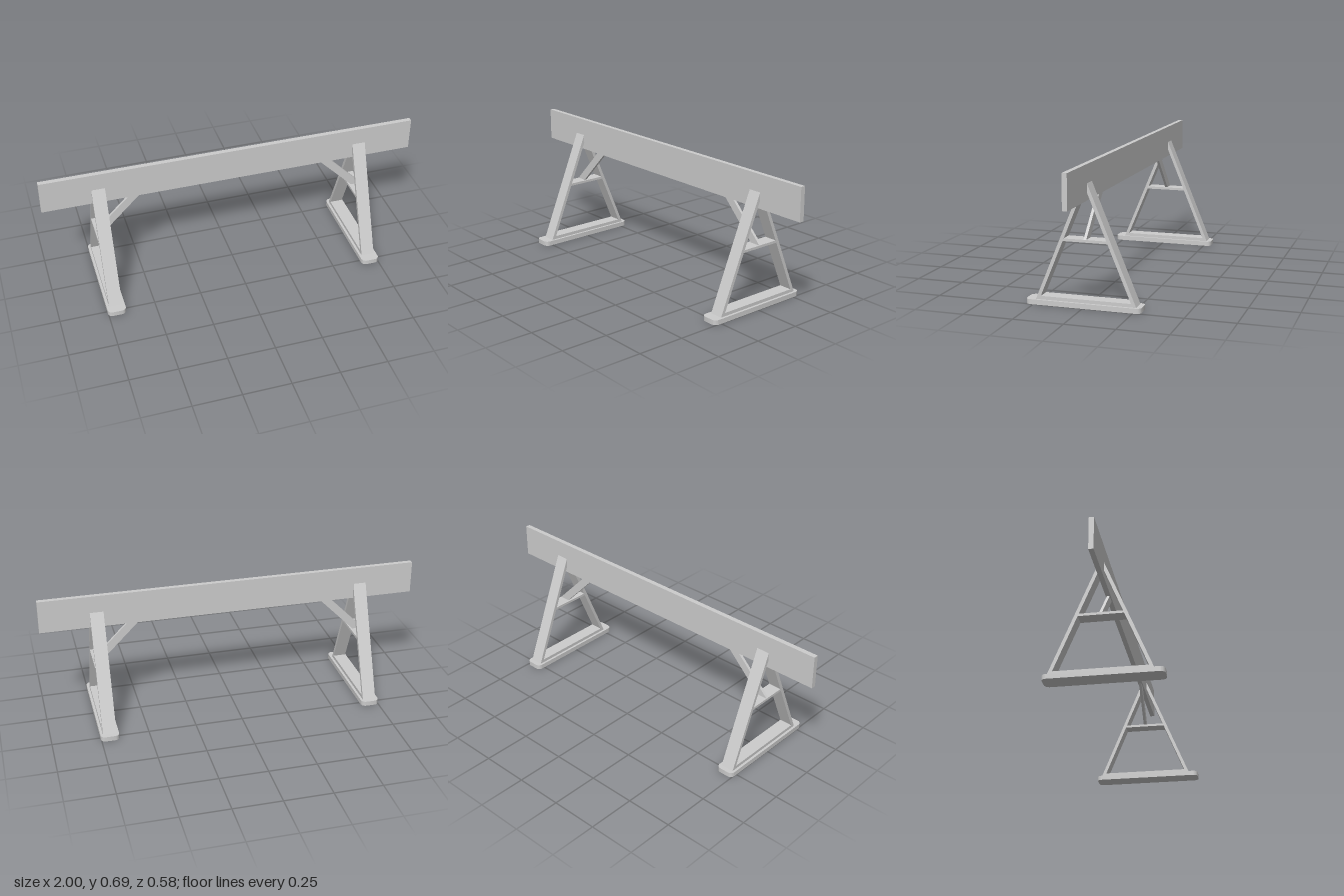
import * as THREE from 'three';
import { toCreasedNormals } from 'three/addons/utils/BufferGeometryUtils.js';

const material = new THREE.MeshStandardMaterial({ color: 0xcccccc });
const MID_Z = -0.0125; // centre plane of the plank and the A-frames
const FRAME_X = 0.705;
const FRAME_W = 0.07;

function addMesh(parent, name, geometry, x = 0, y = 0, z = 0) {
  const mesh = new THREE.Mesh(geometry, material);
  mesh.name = name;
  mesh.position.set(x, y, z);
  parent.add(mesh);
  return mesh;
}

// Prism from an outline, centred on its depth
function prism(points, depth) {
  const shape = new THREE.Shape(points.map(([a, b]) => new THREE.Vector2(a, b)));
  return new THREE.ExtrudeGeometry(shape, { depth, bevelEnabled: false }).translate(0, 0, -depth / 2);
}

// Prism with a (z, y) outline, running along x
const sidePrism = (points, width) => prism(points, width).rotateY(-Math.PI / 2);

// Flat foot board with rounded corners in plan
function footGeometry(w, l, h, r) {
  const x = w / 2, y = l / 2, s = new THREE.Shape();
  s.moveTo(-x + r, -y);
  s.lineTo(x - r, -y).absarc(x - r, -y + r, r, -Math.PI / 2, 0);
  s.lineTo(x, y - r).absarc(x - r, y - r, r, 0, Math.PI / 2);
  s.lineTo(-x + r, y).absarc(-x + r, y - r, r, Math.PI / 2, Math.PI);
  s.lineTo(-x, -y + r).absarc(-x + r, -y + r, r, Math.PI, Math.PI * 1.5);
  const g = new THREE.ExtrudeGeometry(s, { depth: h, bevelEnabled: false, curveSegments: 6 });
  return toCreasedNormals(g.rotateX(-Math.PI / 2), 0.6);
}

// Half-distance between the legs' outer and inner faces at a height
const outer = (y) => 0.2525 - (y - 0.025) * (0.24 / 0.58);
const inner = (y) => outer(y) - 0.0185;

// Horizontal rail fitted between the sloping legs
function railGeometry(y0, y1) {
  return sidePrism([[-inner(y0), y0], [inner(y0), y0], [inner(y1), y1], [-inner(y1), y1]], FRAME_W);
}

function createFrame(side) {
  const frame = new THREE.Group();
  frame.name = side > 0 ? 'leftFrame' : 'rightFrame';
  const x = side * FRAME_X;

  addMesh(frame, 'foot', footGeometry(0.096, 0.58, 0.025, 0.025), x);
  addMesh(frame, 'sill', railGeometry(0.025, 0.042), x, 0, MID_Z);
  addMesh(frame, 'crossbar', railGeometry(0.321, 0.334), x, 0, MID_Z);

  // Legs lean in and stop flush against the plank
  const leg = [[inner(0.025), 0.025], [outer(0.025), 0.025], [0.0125, 0.605], [0.0125, 0.56]];
  addMesh(frame, 'frontLeg', sidePrism(leg, FRAME_W), x, 0, MID_Z);
  addMesh(frame, 'backLeg', sidePrism(leg, FRAME_W).rotateY(Math.PI), x, 0, MID_Z);

  // Diagonal brace from the crossbar up to the plank
  const brace = [[0.682, 0.334], [0.74, 0.334], [0.552, 0.523], [0.494, 0.523]];
  const geometry = prism(brace, 0.014);
  if (side < 0) geometry.rotateY(Math.PI);
  addMesh(frame, 'brace', geometry, 0, 0, MID_Z);
  return frame;
}

export function createModel() {
  const model = new THREE.Group();
  model.name = 'barrier';
  addMesh(model, 'plank', new THREE.BoxGeometry(2, 0.172, 0.025), 0, 0.609, MID_Z);
  for (const side of [1, -1]) model.add(createFrame(side));
  return model;
}
